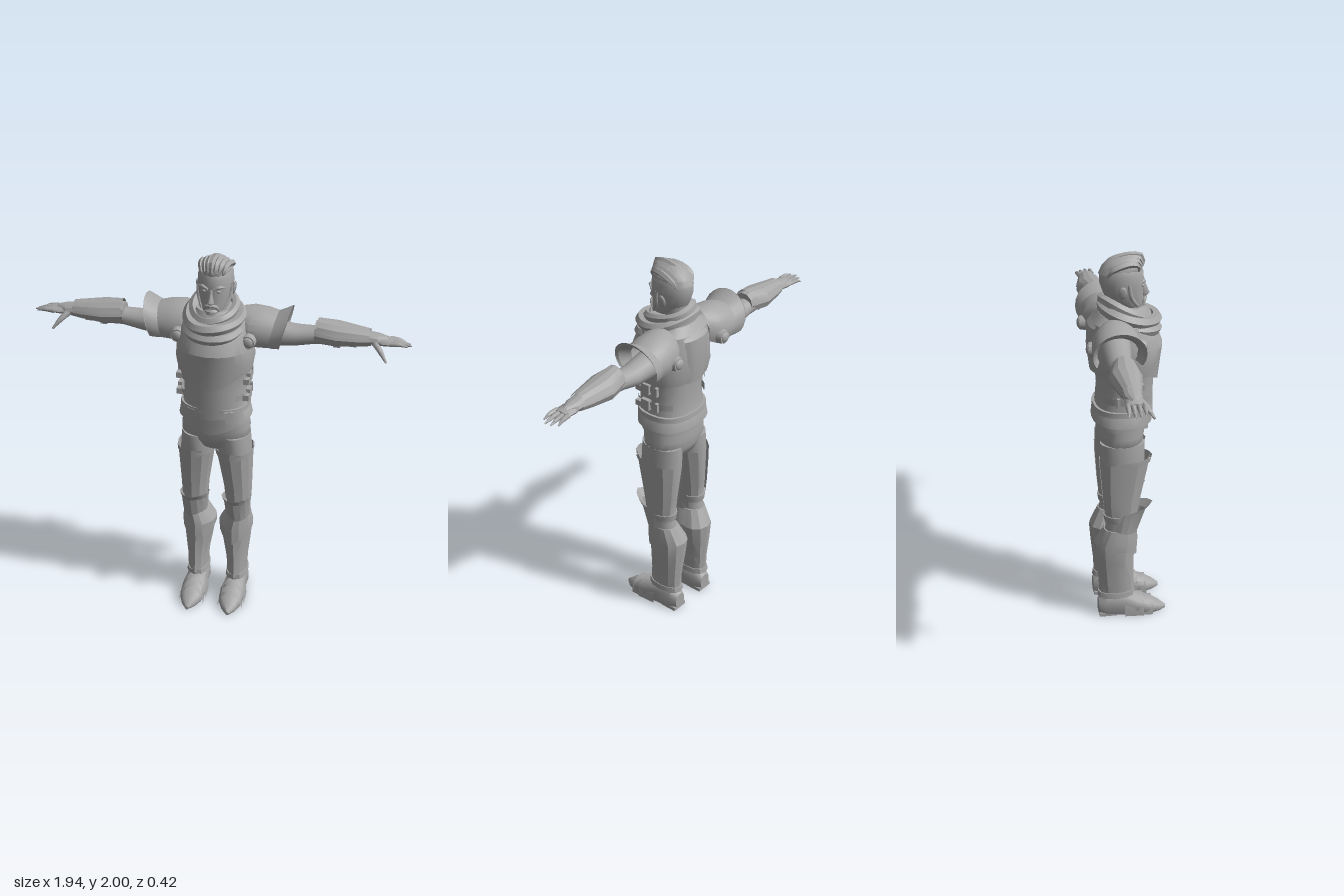
import * as THREE from 'three';
import { toCreasedNormals } from 'three/addons/utils/BufferGeometryUtils.js';

const PI = Math.PI;
const grey = new THREE.MeshStandardMaterial({ color: 0xa6a6a6, side: THREE.DoubleSide });
grey.name = 'plain grey';

// ring from a centre x, half width, front z and back z
const fb = (y, cx, rx, f, b) => [y, cx, (f + b) / 2, rx, (f - b) / 2];

// Skin over rings [t, centreA, centreB, radiusA, radiusB]; angle 0 faces +b.
// axis y: (a,b) = (x,z); axis x: (a,b) = (y,z); axis z: (a,b) = (x,y)
function loft(rings, { n = 20, axis = 'y', from = -PI, to = PI, p = 2, ridge = 0, rule, crease = 0.6 } = {}) {
  const pos = [], idx = [], full = to - from > 6.28;
  const put = (t, a, b) => pos.push(...(axis === 'y' ? [a, t, b] : axis === 'x' ? [t, a, b] : [a, b, t]));
  const pw = (v) => Math.sign(v) * Math.abs(v) ** (2 / p);
  const flip = (axis !== 'y') !== (rings.at(-1)[0] < rings[0][0]);
  const tri = (a, b, c) => (flip ? idx.push(a, c, b) : idx.push(a, b, c));
  rings.forEach(([t, ca, cb, ra, rb], i) => {
    for (let j = 0; j <= n; j++) {
      const th = from + ((to - from) * j) / n;
      const v = { t, a: ca + ra * pw(Math.sin(th)), b: cb + rb * pw(Math.cos(th)) };
      v.b += ridge * Math.max(0, 1 - Math.abs(th) / 0.7);
      if (rule) rule(v, th, i);
      put(v.t, v.a, v.b);
    }
  });
  const w = n + 1, last = (rings.length - 1) * w;
  for (let i = 0; i < rings.length - 1; i++) for (let j = 0; j < n; j++) {
    const k = i * w + j;
    tri(k, k + 1, k + w + 1);
    tri(k, k + w + 1, k + w);
  }
  if (full) {
    const c = pos.length / 3;
    for (const r of [rings[0], rings.at(-1)]) put(r[0], r[1], r[2]);
    for (let j = 0; j < n; j++) { tri(c, j + 1, j); tri(c + 1, last + j, last + j + 1); }
  }
  const g = new THREE.BufferGeometry();
  g.setAttribute('position', new THREE.Float32BufferAttribute(pos, 3));
  g.setIndex(idx);
  return toCreasedNormals(g, crease);
}

// Tube whose radius follows a list along the path
function taper(points, radii, { sides = 7, seg = 8, closed = false } = {}) {
  const curve = new THREE.CatmullRomCurve3(points.map((q) => new THREE.Vector3(...q)), closed);
  const g = new THREE.TubeGeometry(curve, seg, 1, sides, closed), P = g.attributes.position, v = new THREE.Vector3();
  for (let i = 0; i < P.count; i++) {
    const u = Math.floor(i / (sides + 1)) / seg, f = u * (radii.length - 1), k = Math.min(Math.floor(f), radii.length - 2);
    const c = curve.getPointAt(u);
    v.fromBufferAttribute(P, i).sub(c).multiplyScalar(THREE.MathUtils.lerp(radii[k], radii[k + 1], f - k)).add(c);
    P.setXYZ(i, v.x, v.y, v.z);
  }
  return toCreasedNormals(g, 0.9);
}

const box = (w, h, d, x, y, z, rx = 0, rz = 0) =>
  new THREE.BoxGeometry(w, h, d).rotateX(rx).rotateZ(rz).translate(x, y, z);

// Reflected copy with the corner order put right
function mirrored(geo) {
  const g = geo.index ? geo.toNonIndexed() : geo.clone();
  g.scale(-1, 1, 1);
  for (const at of Object.values(g.attributes)) {
    const s = at.itemSize, A = at.array;
    for (let i = 0; i < A.length; i += 3 * s) for (let k = 0; k < s; k++) {
      const o = A[i + s + k]; A[i + s + k] = A[i + 2 * s + k]; A[i + 2 * s + k] = o;
    }
  }
  return g;
}

export function createModel() {
  const model = new THREE.Group();
  model.name = 'armouredMan';
  const add = (name, g) => {
    const m = new THREE.Mesh(g, grey);
    m.name = name;
    model.add(m);
  };
  const pair = (name, g) => { add(name + 'Left', g); add(name + 'Right', mirrored(g)); };

  // Head and face
  add('head', loft([[1.695, 0, 0.06, 0.03, 0.03], [1.715, 0, 0.04, 0.05, 0.058], [1.75, 0, 0.01, 0.068, 0.088], [1.8, 0, -0.006, 0.082, 0.1],
    [1.85, 0, -0.012, 0.088, 0.111], [1.9, 0, -0.014, 0.086, 0.11], [1.94, 0, -0.014, 0.073, 0.092], [1.965, 0, -0.01, 0.045, 0.06]], { n: 24, crease: 1.2 }));
  add('neck', loft([[1.58, 0, -0.04, 0.075, 0.07], [1.68, 0, -0.04, 0.06, 0.06], [1.8, 0, -0.035, 0.062, 0.065]], { n: 14 }));
  add('nose', loft([[1.775, 0, 0.1, 0.017, 0.012], [1.785, 0, 0.105, 0.018, 0.023], [1.82, 0, 0.1, 0.009, 0.014], [1.85, 0, 0.095, 0.007, 0.008]], { n: 8, crease: 1 }));
  add('beard', loft([fb(1.69, 0, 0.022, 0.1, 0.05), fb(1.705, 0, 0.034, 0.11, 0.05), fb(1.735, 0, 0.04, 0.108, 0.04), fb(1.745, 0, 0.03, 0.1, 0.04)], { n: 12 }));
  pair('moustache', taper([[0, 1.768, 0.108], [0.025, 1.762, 0.099], [0.038, 1.735, 0.086]], [0.008, 0.009, 0.005]));
  pair('eyebrow', taper([[0.014, 1.85, 0.1], [0.04, 1.862, 0.092], [0.066, 1.855, 0.066]], [0.006, 0.009, 0.004]));
  pair('eye', new THREE.SphereGeometry(0.011, 10, 8).scale(1.2, 0.7, 0.7).translate(0.035, 1.837, 0.087));
  pair('ear', new THREE.SphereGeometry(0.03, 10, 8).scale(0.35, 1.15, 0.75).rotateZ(-0.2).translate(0.089, 1.82, -0.02));
  pair('sideburn', taper([[0.084, 1.86, 0.012], [0.077, 1.79, 0.025], [0.055, 1.735, 0.06]], [0.009, 0.012, 0.008]));

  // Swept-back hair
  add('hairCap', loft([[1.9, 0, -0.022, 0.08, 0.108], [1.93, 0, -0.01, 0.08, 0.106], [1.96, 0, 0, 0.062, 0.088], [1.982, 0, 0.005, 0.03, 0.055]], { n: 14 }));
  for (let i = -3; i <= 3; i++) {
    const x = i * 0.021, d = Math.abs(i) * 0.009;
    add('hairLock', taper([[x * 0.8, 1.925 - d * 0.3, 0.09 - d], [x * 0.9, 1.972 - d, 0.092 - d], [x, 1.983 - d, 0.02], [x * 1.15, 1.955 - d, -0.07], [x * 0.9, 1.915 - d, -0.122 + d]],
      [0.008, 0.017, 0.018, 0.015, 0.002], { sides: 5, seg: 10 }));
  }

  // Scarf: a collar and three loose folds, low at the front
  add('scarfCollar', loft([[1.6, 0, 0.02, 0.15, 0.145], [1.66, 0, 0.01, 0.14, 0.14], [1.73, 0, -0.005, 0.1, 0.105]], { from: -PI, to: PI - 0.001 }));
  [[0, 0.102, 0.11, 1.765, 1.685, 0.026], [0.02, 0.13, 0.135, 1.725, 1.655, 0.03], [0.03, 0.125, 0.13, 1.69, 1.605, 0.03]].forEach(([cz, rx, rz, yb, yf, r], k) => {
    const pts = [];
    for (let j = 0; j < 14; j++) {
      const th = (j / 14) * PI * 2, s = 1 + 0.03 * Math.sin(3 * th + k * 2);
      pts.push([rx * s * Math.sin(th), (yb + yf) / 2 + ((yf - yb) / 2) * Math.cos(th) + 0.008 * Math.sin(2 * th + k), cz + rz * s * Math.cos(th)]);
    }
    add('scarfFold', taper(pts, [r, r * 0.8, r * 1.1, r], { closed: true, seg: 40, sides: 6 }));
  });

  // Breastplate with a keel and a pointed lower edge
  const vee = (depth, span) => (v, th, i) => { if (i === 0) v.t -= depth * Math.max(0, 1 - Math.abs(th) / span); };
  add('breastplate', loft([fb(1.4, 0, 0.187, 0.152, -0.165), fb(1.46, 0, 0.197, 0.165, -0.178), fb(1.53, 0, 0.19, 0.175, -0.18), fb(1.6, 0, 0.175, 0.15, -0.178),
    fb(1.66, 0, 0.16, 0.11, -0.165), fb(1.7, 0, 0.11, 0.07, -0.13)], { n: 28, p: 2.5, ridge: 0.018, rule: vee(0.07, 0.9), crease: 0.4 }));
  add('backPanel', loft([fb(1.4, 0, 0.12, 0.165, -0.177), fb(1.53, 0, 0.13, 0.165, -0.192), fb(1.64, 0, 0.14, 0.12, -0.185), fb(1.665, 0, 0.14, 0.1, -0.16)],
    { n: 8, from: PI - 0.6, to: PI + 0.6, p: 2.5 }));

  // Corset, straps and buckles
  add('corset', loft([fb(1.17, 0, 0.17, 0.13, -0.158), fb(1.22, 0, 0.162, 0.135, -0.15), fb(1.3, 0, 0.155, 0.135, -0.142), fb(1.42, 0, 0.172, 0.142, -0.15)],
    { n: 24, p: 2.4, ridge: 0.012, rule: vee(0.02, 0.9), crease: 0.4 }));
  for (const y of [1.27, 1.36]) {
    pair('sideStrap', loft([fb(y - 0.018, 0, 0.172, 0.14, -0.152), fb(y + 0.018, 0, 0.175, 0.142, -0.154)], { n: 10, from: 0.75, to: 2.4, p: 2.4 }));
    pair('buckle', box(0.022, 0.056, 0.05, 0.176, y, 0.012));
    pair('buckleEnd', box(0.03, 0.03, 0.035, 0.172, y - 0.006, 0.055));
    pair('strapLoop', box(0.018, 0.05, 0.016, 0.173, y, -0.055));
  }

  // Tunic hem: pointed front flap and split skirt
  add('frontFlap', loft([fb(1.1, 0, 0.172, 0.118, -0.15), fb(1.2, 0, 0.165, 0.13, -0.152)], { n: 24, from: -PI, to: PI - 0.001, p: 2.4, rule: vee(0.05, 0.75) }));
  add('skirt', loft([fb(1.13, 0, 0.187, 0.138, -0.17), fb(1.2, 0, 0.173, 0.145, -0.163), fb(1.21, 0, 0.165, 0.135, -0.155)], { n: 24, from: 0.4, to: 2 * PI - 0.4, p: 2.4 }));
  add('belt', loft([fb(1.185, 0, 0.178, 0.142, -0.166), fb(1.212, 0, 0.176, 0.142, -0.164)], { n: 24, p: 2.4 }));

  // Hips
  add('hips', loft([fb(0.925, 0, 0.05, 0.03, -0.08), fb(0.955, 0, 0.12, 0.07, -0.125), fb(1, 0, 0.178, 0.09, -0.142), fb(1.06, 0, 0.178, 0.1, -0.146), fb(1.16, 0, 0.165, 0.112, -0.138)],
    { n: 24, p: 2.3, crease: 1.2 }));

  // Legs with thigh plates, knee plates and greaves
  pair('leg', loft([fb(0.1, 0.108, 0.045, 0.025, -0.14), fb(0.4, 0.105, 0.075, 0.02, -0.16), fb(0.55, 0.118, 0.055, 0.02, -0.115), fb(0.7, 0.115, 0.064, 0.04, -0.128),
    fb(0.9, 0.1, 0.088, 0.092, -0.142), fb(1.02, 0.094, 0.085, 0.09, -0.14)], { n: 18, crease: 1.2 }));
  pair('thighPlate', loft([fb(0.62, 0.117, 0.068, 0.045, -0.125), fb(0.7, 0.115, 0.073, 0.058, -0.135), fb(0.85, 0.106, 0.087, 0.092, -0.147), fb(0.95, 0.101, 0.095, 0.112, -0.15)],
    { n: 10, from: -2.7, to: 2.7, p: 2.3, ridge: 0.01, crease: 0.35, rule: (v, th, i) => { if (i === 3) v.t -= 0.03 * Math.abs(Math.sin(th / 2)); } }));
  pair('thighBand', loft([fb(0.915, 0.101, 0.097, 0.115, -0.153), fb(0.94, 0.101, 0.098, 0.12, -0.153)], { n: 10, from: -1.9, to: 1.9, p: 2.3, ridge: 0.01 }));
  pair('kneePlate', loft([fb(0.52, 0.117, 0.066, 0.035, -0.1), fb(0.6, 0.115, 0.07, 0.082, -0.11), fb(0.64, 0.113, 0.076, 0.118, -0.115)],
    { n: 10, from: -2.2, to: 2.2, ridge: 0.015, crease: 0.3, rule: (v, th, i) => { v.t += (i ? 0.03 : -0.02) * Math.cos(th); } }));
  pair('kneeStrap', loft([fb(0.575, 0.117, 0.062, 0.03, -0.122), fb(0.615, 0.117, 0.066, 0.03, -0.128)], { n: 14 }));
  pair('greave', loft([fb(0.13, 0.108, 0.053, 0.028, -0.152), fb(0.22, 0.108, 0.056, 0.022, -0.155), fb(0.34, 0.104, 0.074, 0.024, -0.168), fb(0.44, 0.1, 0.086, 0.03, -0.176), fb(0.53, 0.115, 0.062, 0.025, -0.128)],
    { n: 12, p: 2.2, ridge: 0.012, crease: 0.4 }));
  pair('greaveTop', loft([fb(0.41, 0.1, 0.088, 0.036, -0.17), fb(0.45, 0.1, 0.09, 0.042, -0.17), fb(0.52, 0.114, 0.066, 0.036, -0.13)],
    { n: 10, from: -1.8, to: 1.8, p: 2.2, ridge: 0.014, crease: 0.3, rule: vee(0.06, 1.2) }));
  pair('ankleBand', loft([fb(0.115, 0.108, 0.06, 0.036, -0.162), fb(0.145, 0.108, 0.057, 0.036, -0.158)], { n: 12, p: 2.3 }));

  // Pointed plated shoes
  const flat = (v) => { v.b = Math.max(v.b, 0); };
  pair('shoe', loft([[-0.157, 0.108, 0.05, 0.035, 0.045], [-0.12, 0.108, 0.055, 0.052, 0.075], [-0.03, 0.107, 0.055, 0.055, 0.08], [0.05, 0.107, 0.04, 0.067, 0.066],
    [0.12, 0.108, 0.03, 0.062, 0.045], [0.17, 0.11, 0.02, 0.04, 0.027], [0.207, 0.112, 0.01, 0.008, 0.01]], { n: 14, axis: 'z', p: 2.4, rule: flat, crease: 0.6 }));
  for (const [z, rx, h] of [[0.01, 0.067, 0.121], [0.06, 0.07, 0.105], [0.11, 0.066, 0.082]])
    pair('shoePlate', loft([[z - 0.03, 0.107, 0, rx - 0.004, h + 0.008], [z + 0.022, 0.107, 0, rx, h]], { n: 10, axis: 'z', from: -PI / 2, to: PI / 2, p: 2.3 }));
  pair('heel', box(0.09, 0.02, 0.09, 0.108, 0.01, -0.11));

  // Arms
  pair('arm', loft([[0.13, 1.59, -0.07, 0.08, 0.08], [0.28, 1.572, -0.078, 0.066, 0.07], [0.4, 1.57, -0.086, 0.053, 0.062], [0.49, 1.58, -0.085, 0.045, 0.052],
    [0.6, 1.59, -0.085, 0.048, 0.058], [0.8, 1.588, -0.085, 0.024, 0.032]], { n: 16, axis: 'x', crease: 1.2 }));
  pair('bracer', loft([[0.49, 1.598, -0.082, 0.058, 0.055], [0.6, 1.593, -0.087, 0.06, 0.076], [0.72, 1.588, -0.085, 0.042, 0.056], [0.77, 1.587, -0.085, 0.034, 0.043]], { n: 10, axis: 'x', crease: 0.3 }));
  pair('bracerTopPlate', loft([[0.5, 1.6, -0.082, 0.072, 0.06], [0.6, 1.597, -0.087, 0.064, 0.08], [0.76, 1.592, -0.085, 0.046, 0.05]], { n: 6, axis: 'x', from: 0.2, to: PI - 0.2, crease: 0.3 }));
  pair('handPlate', loft([[0.75, 1.59, -0.085, 0.036, 0.046], [0.8, 1.588, -0.085, 0.032, 0.045], [0.85, 1.588, -0.085, 0.022, 0.018]], { n: 6, axis: 'x', from: 0.1, to: PI - 0.1, crease: 0.3 }));
  for (const x of [0.6, 0.68])
    pair('bracerBuckle', box(0.035, 0.016, 0.05, x, 1.54 + (x - 0.6) * 0.15, -0.085));

  // Hands
  pair('palm', loft([[0.77, 1.587, -0.085, 0.022, 0.032], [0.82, 1.584, -0.083, 0.022, 0.045], [0.875, 1.584, -0.083, 0.014, 0.045]], { n: 12, axis: 'x', crease: 1 }));
  [[-0.047, 0.95], [-0.07, 0.967], [-0.095, 0.96], [-0.119, 0.935]].forEach(([z, end], i) =>
    pair('finger', taper([[0.86, 1.585, z], [0.91, 1.587 - i * 0.003, z * 1.03], [end, 1.578 - i * 0.004, z * 1.05]], [0.013, 0.011, 0.004])));
  pair('thumb', taper([[0.785, 1.58, -0.06], [0.815, 1.555, -0.03], [0.855, 1.508, 0.006]], [0.018, 0.014, 0.005]));

  // Layered shoulder plates, flared outward at the rim
  const lean = (d) => (v, th) => { v.t += d * (Math.sin(th) - 1); };
  const arc = { axis: 'x', n: 16, from: -0.5, to: PI + 0.5, crease: 0.4 };
  pair('shoulderPlate', loft([[0.13, 1.61, -0.065, 0.095, 0.09], [0.18, 1.595, -0.07, 0.116, 0.118], [0.25, 1.59, -0.072, 0.112, 0.122], [0.31, 1.585, -0.072, 0.1, 0.115]], { ...arc, rule: lean(0.015) }));
  pair('shoulderRim', loft([[0.29, 1.585, -0.072, 0.096, 0.112], [0.335, 1.59, -0.072, 0.112, 0.122], [0.372, 1.6, -0.072, 0.122, 0.13]], { ...arc, rule: lean(0.03) }));
  pair('shoulderInnerRim', loft([[0.29, 1.58, -0.072, 0.09, 0.1], [0.362, 1.592, -0.072, 0.112, 0.12], [0.374, 1.6, -0.072, 0.123, 0.131]], { ...arc, rule: lean(0.03) }));

  // Round studs under the shoulder plates, front and back
  for (const [z, d] of [[0.062, 1], [-0.19, -1]]) {
    pair('stud', new THREE.CylinderGeometry(0.034, 0.04, 0.03, 16).rotateX((d * PI) / 2).translate(0.178, 1.575, z));
    pair('studDome', new THREE.SphereGeometry(0.028, 12, 8).scale(1, 1, 0.5).translate(0.178, 1.575, z + d * 0.013));
  }
  return model;
}
